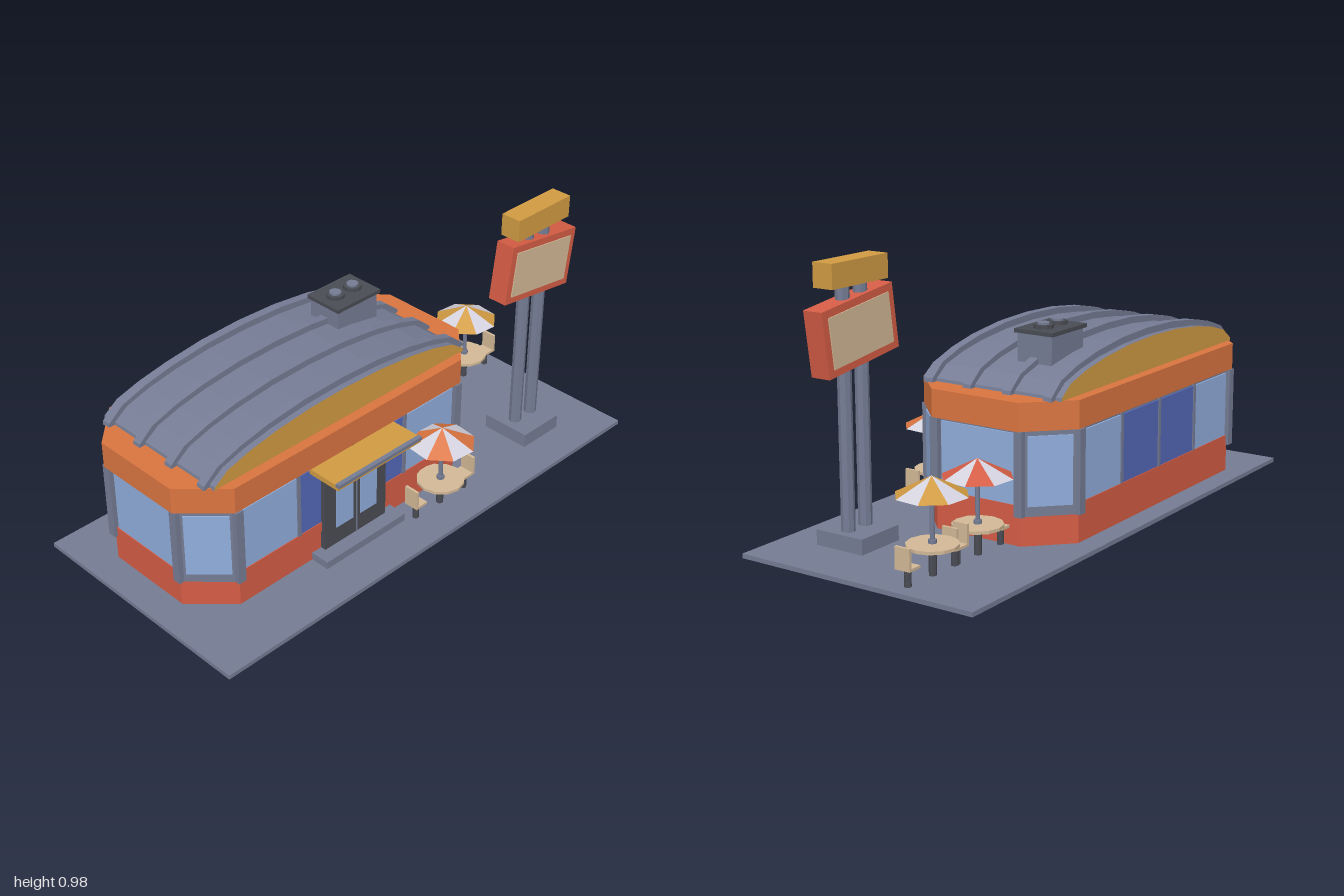
import * as THREE from 'three';

const mat = (name, color, extra = {}) => {
  const m = new THREE.MeshStandardMaterial({ color, flatShading: true, ...extra });
  m.name = name;
  return m;
};

export function createModel() {
  const two = { side: THREE.DoubleSide };
  const slate = mat('slate', 0x757c94), red = mat('red', 0xd45c45, two), orange = mat('orange', 0xd97440, two);
  const gold = mat('gold', 0xd09a42, two), tan = mat('tan', 0xd2b896), charcoal = mat('charcoal', 0x4a4c54);
  const glass = mat('paleGlass', 0x90addb), blue = mat('blueGlass', 0x5468b8), white = mat('canvasWhite', 0xd4d2de, two);

  const model = new THREE.Group();
  model.name = 'diner';

  const add = (parent, name, geometry, material, x = 0, y = 0, z = 0) => {
    const mesh = new THREE.Mesh(geometry, material);
    mesh.name = name;
    mesh.position.set(x, y, z);
    parent.add(mesh);
    return mesh;
  };
  // box given by its extents on each axis
  const box = (parent, name, material, [x0, x1], [y0, y1], [z0, z1]) =>
    add(parent, name, new THREE.BoxGeometry(x1 - x0, y1 - y0, z1 - z0), material,
      (x0 + x1) / 2, (y0 + y1) / 2, (z0 + z1) / 2);
  const cyl = (parent, name, material, r, y0, y1, x, z, sides = 10) =>
    add(parent, name, new THREE.CylinderGeometry(r, r, y1 - y0, sides), material, x, (y0 + y1) / 2, z);
  const group = (parent, name, x = 0, y = 0, z = 0) => {
    const g = new THREE.Group();
    g.name = name;
    g.position.set(x, y, z);
    parent.add(g);
    return g;
  };

  box(model, 'groundSlab', slate, [-1, 1], [0, 0.016], [-0.465, 0.465]);

  // ---- Building, centred on its own plan ----
  const building = group(model, 'building', -0.225, 0, -0.075);
  const HX = 0.66, HZ = 0.31, CUT = 0.138;
  // prism with cut corners
  const prism = (name, material, hx, hz, c, y0, y1) => {
    const pts = [[hx, hz - c], [hx - c, hz], [c - hx, hz], [-hx, hz - c],
      [-hx, c - hz], [c - hx, -hz], [hx - c, -hz], [hx, c - hz]];
    const shape = new THREE.Shape(pts.map(([x, z]) => new THREE.Vector2(x, z)));
    const geo = new THREE.ExtrudeGeometry(shape, { depth: y1 - y0, bevelEnabled: false });
    return add(building, name, geo.rotateX(-Math.PI / 2), material, 0, y0, 0);
  };
  prism('lowerWall', red, HX, HZ, CUT, 0.016, 0.12);
  prism('sill', red, HX + 0.005, HZ + 0.005, CUT, 0.12, 0.157);
  prism('windowWall', slate, HX - 0.004, HZ - 0.004, CUT, 0.157, 0.412);
  prism('fasciaBand', orange, 0.68, 0.32, 0.145, 0.412, 0.51);

  // long-side and end windows
  for (const s of [1, -1]) {
    const z = s * (HZ - 0.002);
    [-0.381, -0.127, 0.127, 0.381].forEach((x, i) => {
      const pane = i === 1 || i === 2 ? blue : glass;
      box(building, 'sideWindow', pane, [x - 0.122, x + 0.122], [0.157, 0.4], [z - 0.004, z + 0.004]);
    });
    for (const x of [-0.254, 0, 0.254])
      box(building, 'mullion', slate, [x - 0.007, x + 0.007], [0.157, 0.412], [z - 0.008, z + 0.01]);
    const ex = s * (HX - 0.002);
    box(building, 'endWindow', glass, [ex - 0.004, ex + 0.004], [0.157, 0.4], [-0.15, 0.15]);
  }

  // corner windows with posts
  for (const sx of [1, -1]) for (const sz of [1, -1]) {
    const corner = group(building, 'cornerWindow', sx * (HX - CUT / 2), 0, sz * (HZ - CUT / 2));
    corner.rotation.y = Math.atan2(sx, sz);
    box(corner, 'cornerFrame', slate, [-0.1, 0.1], [0.12, 0.412], [-0.015, 0.009]);
    box(corner, 'cornerPane', glass, [-0.076, 0.076], [0.155, 0.395], [0.007, 0.013]);
    for (const s of [1, -1]) {
      const post = box(corner, 'cornerPost', slate, [s * 0.098 - 0.016, s * 0.098 + 0.016], [0.12, 0.412], [-0.016, 0.016]);
      post.rotation.y = s * Math.PI / 4;
    }
  }

  // barrel roof: gold gables, slate skin and four ribs
  const half = [[0.61, 0.51], [0.607, 0.525], [0.55, 0.572], [0.45, 0.605], [0.33, 0.63], [0.17, 0.649]];
  const profile = [...half, [0, 0.655], ...half.slice().reverse().map(([x, y]) => [-x, y])];
  const vault = (name, materials, sx, sy, depth, z) => {
    const shape = new THREE.Shape(profile.map(([x, y]) => new THREE.Vector2(x * sx, 0.508 + (y - 0.51) * sy)));
    const geo = new THREE.ExtrudeGeometry(shape, { depth, bevelEnabled: false });
    add(building, name, geo, materials, 0, 0, z - depth / 2);
  };
  vault('barrelRoof', [gold, slate], 0.96, 0.83, 0.565, 0);
  for (let i = 0; i < 4; i++) vault('roofRib', slate, 1, 1, 0.033, (i - 1.5) * 0.1615);

  // rooftop vent unit
  const vent = group(model, 'roofVent');
  box(vent, 'ventBody', slate, [0.025, 0.218], [0.52, 0.684], [-0.225, -0.087]);
  box(vent, 'ventCap', charcoal, [0.017, 0.228], [0.684, 0.698], [-0.235, -0.079]);
  for (const x of [0.08, 0.165]) {
    cyl(vent, 'ventCollar', charcoal, 0.034, 0.698, 0.711, x, -0.157);
    cyl(vent, 'ventFan', slate, 0.022, 0.711, 0.718, x, -0.157);
  }

  // ---- Entrance ----
  const entrance = group(model, 'entrance');
  box(entrance, 'doorStep', slate, [-0.418, -0.035], [0.016, 0.045], [0.22, 0.31]);
  box(entrance, 'doorFrame', charcoal, [-0.375, -0.08], [0.045, 0.387], [0.22, 0.256]);
  for (const [a, b] of [[-0.323, -0.242], [-0.207, -0.127]])
    box(entrance, 'doorPane', glass, [a, b], [0.115, 0.335], [0.253, 0.259]);
  box(entrance, 'doorSplit', slate, [-0.227, -0.222], [0.05, 0.38], [0.254, 0.259]);
  box(entrance, 'awning', gold, [-0.425, -0.03], [0.389, 0.409], [0.22, 0.372]);
  box(entrance, 'awningLip', slate, [-0.425, -0.03], [0.4, 0.413], [0.36, 0.377]);

  // ---- Roadside sign ----
  const sign = group(model, 'roadSign', 0.704, 0, 0.225);
  box(sign, 'signPlinth', slate, [-0.097, 0.093], [0.016, 0.07], [-0.097, 0.097]);
  for (const x of [-0.042, 0.045]) cyl(sign, 'signPole', slate, 0.024, 0.07, 0.9, x, 0, 8);
  box(sign, 'signTopper', gold, [-0.138, 0.138], [0.892, 0.975], [-0.04, 0.04]);
  const board = group(sign, 'signBoard', 0, 0.741, 0);
  board.rotation.z = -0.139;
  box(board, 'signFrame', red, [-0.176, 0.176], [-0.112, 0.112], [-0.038, 0.038]);
  for (const s of [1, -1])
    box(board, 'signFace', tan, [-0.15, 0.15], [-0.086, 0.086], [s * 0.039 - 0.003, s * 0.039 + 0.003]);

  // ---- Tables with parasols ----
  const parasolSet = (x, z, stripe) => {
    const set = group(model, 'parasolTable', x, 0, z);
    cyl(set, 'tableLeg', charcoal, 0.013, 0.016, 0.112, 0, 0, 8);
    cyl(set, 'tableTop', tan, 0.087, 0.111, 0.122, 0, 0, 12);
    cyl(set, 'poleCollar', slate, 0.014, 0.122, 0.135, 0, 0, 8);
    cyl(set, 'parasolPole', slate, 0.008, 0.122, 0.335, 0, 0, 8);
    for (let i = 0; i < 8; i++) {
      const panel = new THREE.ConeGeometry(0.122, 0.062, 1, 1, true, i * Math.PI / 4 + 0.3, Math.PI / 4);
      add(set, 'parasolPanel', panel, i % 2 ? white : stripe, 0, 0.311, 0);
    }
    for (const s of [1, -1]) {
      const chair = group(set, 'chair', s * 0.126, 0, 0);
      cyl(chair, 'chairLeg', charcoal, 0.012, 0.016, 0.076, 0, 0, 8);
      box(chair, 'chairSeat', tan, [-0.027, 0.027], [0.075, 0.084], [-0.029, 0.029]);
      box(chair, 'chairBack', tan, [s * 0.022 - 0.005, s * 0.022 + 0.005], [0.078, 0.15], [-0.029, 0.029]);
    }
  };
  parasolSet(0.134, 0.323, orange);
  parasolSet(0.574, -0.175, red);
  parasolSet(0.812, -0.173, gold);

  return model;
}
